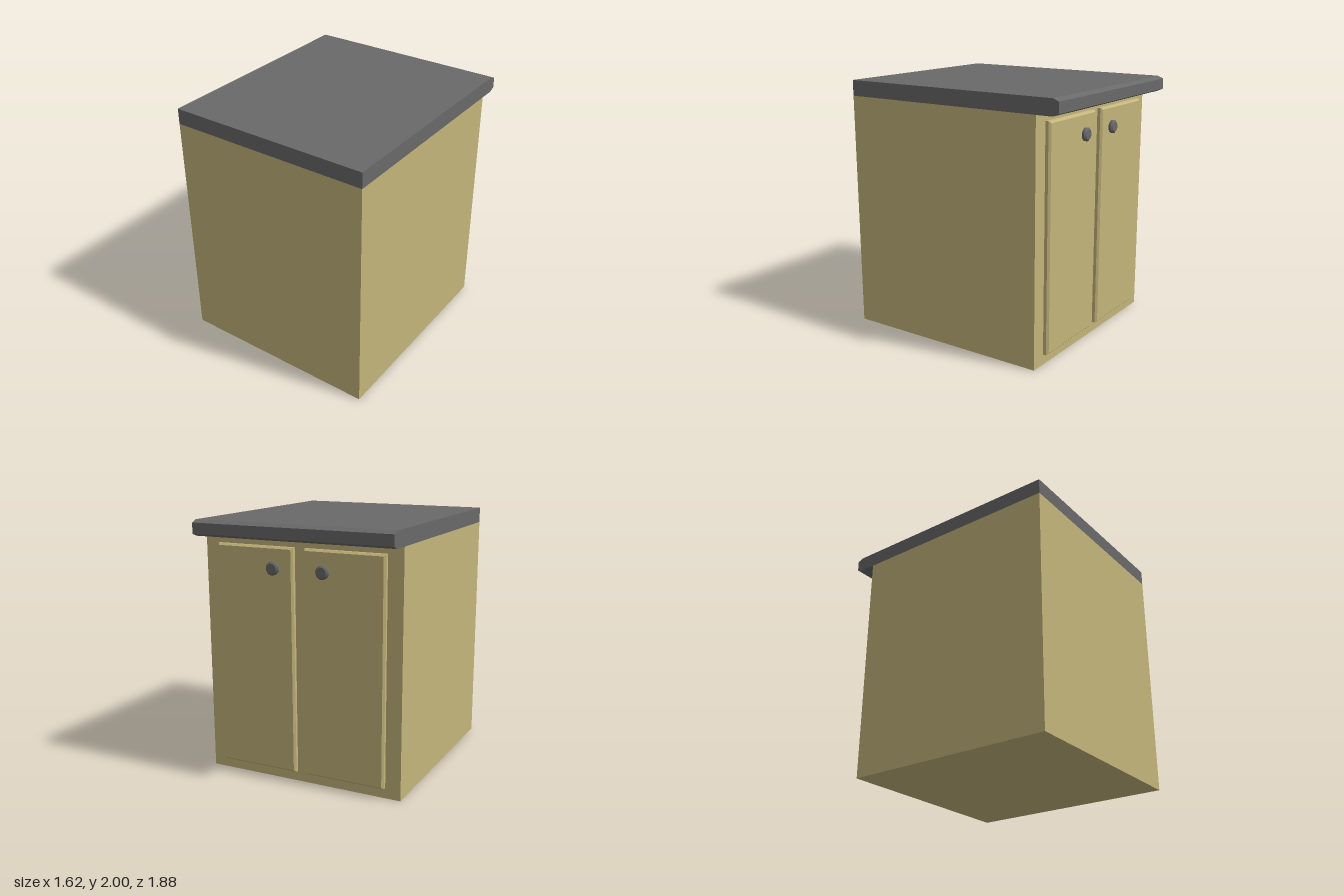
import * as THREE from 'three';

export function createModel() {
  const model = new THREE.Group();
  model.name = 'baseCabinet';

  const wood = new THREE.MeshStandardMaterial({ color: 0xc4b57b });
  wood.name = 'paleWood';
  const stone = new THREE.MeshStandardMaterial({ color: 0x696969 });
  stone.name = 'darkGrey';

  const add = (name, geometry, material, x = 0, y = 0, z = 0) => {
    const mesh = new THREE.Mesh(geometry, material);
    mesh.name = name;
    mesh.position.set(x, y, z);
    model.add(mesh);
  };
  const polygon = (points) => new THREE.Shape(points.map(([x, y]) => new THREE.Vector2(x, y)));

  const width = 1.625;

  // Carcass
  add('carcass', new THREE.BoxGeometry(width, 1.877, 1.7), wood, 0, 0.9385, 0.09);

  // Worktop: side profile (depth, height) with a chamfered overhanging lip
  const top = new THREE.ExtrudeGeometry(
    polygon([[-0.94, 1.877], [0.893, 1.877], [0.94, 1.897], [0.94, 1.98], [0.893, 2], [-0.94, 2]]),
    { depth: width, bevelEnabled: false }
  );
  top.translate(0, 0, -width / 2).rotateY(Math.PI / 2);
  add('worktop', top, stone);

  // Doors with bevelled edges; their rear bevel sits inside the carcass
  const bevel = 0.015;
  const w = 0.645 / 2 - bevel;
  const h = 1.74 / 2 - bevel;
  const door = new THREE.ExtrudeGeometry(polygon([[-w, -h], [w, -h], [w, h], [-w, h]]), {
    depth: 0.03, bevelSize: bevel, bevelThickness: bevel, bevelSegments: 1,
  });

  // Round knob with a chamfered rim, turned to point out of the door
  const knob = new THREE.LatheGeometry(
    [[0.05, 0], [0.052, 0.02], [0.038, 0.032], [0, 0.032]].map(([r, y]) => new THREE.Vector2(r, y)),
    20
  ).toNonIndexed();
  knob.computeVertexNormals();
  knob.rotateX(-Math.PI / 2);

  for (const [side, s] of [['left', 1], ['right', -1]]) {
    add(side + 'Door', door, wood, s * 0.3675, 0.95, -0.785);
    add(side + 'Knob', knob, stone, s * 0.205, 1.66, -0.8);
  }
  return model;
}
